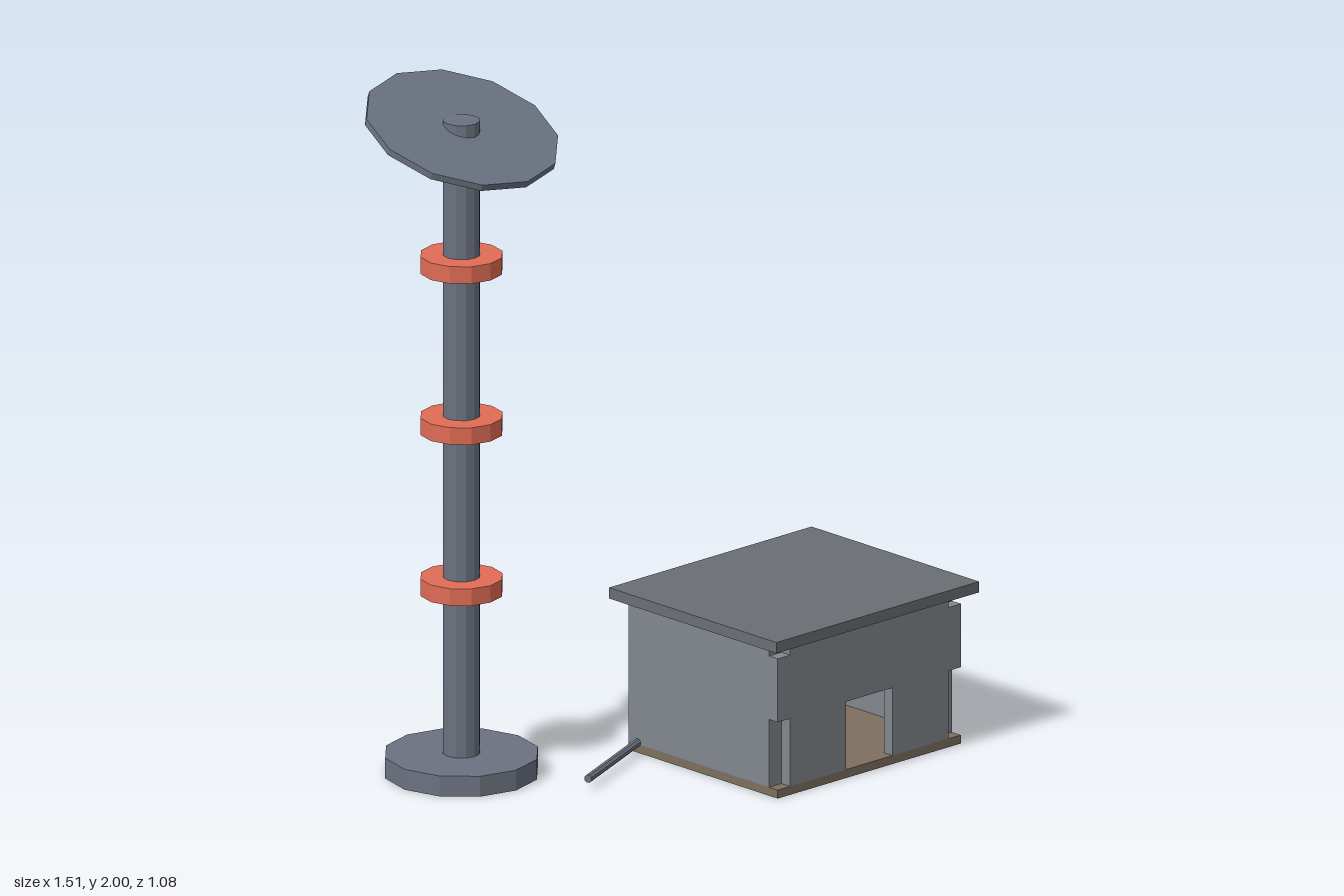
import * as THREE from 'three';

const paint = (color) => new THREE.MeshStandardMaterial({ color, flatShading: true });

export function createModel() {
  const steel = paint(0x6b7280), orange = paint(0xe06c55), wall = paint(0x80888d);
  const roofGrey = paint(0x6a6f73), brown = paint(0x7d6f60), cyan = paint(0x22d3ee);
  const model = new THREE.Group();

  const add = (parent, name, geometry, material, x, y, z) => {
    const mesh = new THREE.Mesh(geometry, material);
    mesh.name = name;
    mesh.position.set(x, y, z);
    parent.add(mesh);
    return mesh;
  };
  // box given by its limits on each axis
  const box = (parent, name, material, [x0, x1], [y0, y1], [z0, z1]) =>
    add(parent, name, new THREE.BoxGeometry(x1 - x0, y1 - y0, z1 - z0), material,
      (x0 + x1) / 2, (y0 + y1) / 2, (z0 + z1) / 2);
  const drum = (r, h) => new THREE.CylinderGeometry(r, r, h, 12);

  // Tower: base, mast, collars and tilted dish
  const tower = new THREE.Group();
  tower.name = 'tower';
  tower.position.set(-0.475, 0, -0.272);
  model.add(tower);
  add(tower, 'towerBase', drum(0.22, 0.06), steel, 0, 0.03, 0);
  add(tower, 'mast', drum(0.053, 1.925), steel, 0, 0.9625, 0);
  for (const y of [0.555, 1.03, 1.505]) add(tower, 'collar', drum(0.118, 0.05), orange, 0, y, 0);
  add(tower, 'dish', drum(0.282, 0.02), steel, 0, 1.895, 0).rotation.x = THREE.MathUtils.degToRad(20);

  // Hut: floor, three plain walls and roof
  const hut = new THREE.Group();
  hut.name = 'hut';
  model.add(hut);
  const x0 = 0.005, x1 = 0.715, zBack = -0.097, zFront = 0.507, floorY = 0.025, eaveY = 0.445;
  const depth = 0.035, side = 0.048;
  box(hut, 'floor', brown, [x0, x1], [0, floorY], [zBack, zFront]);
  box(hut, 'backWall', wall, [x0, x1], [floorY, eaveY], [zBack, zBack + depth]);
  for (const x of [x0, x1 - side])
    box(hut, 'sideWall', wall, [x, x + side], [floorY, eaveY], [zBack + depth, zFront - depth]);
  box(hut, 'roof', roofGrey, [-0.033, 0.753], [eaveY, 0.477], [-0.137, 0.541]);

  // Front wall with a doorway and notched corners
  const doorTop = 0.225, notchY = 0.412, a = x0 + side, b = x1 - side;
  const outline = new THREE.Shape([
    [a, floorY], [0.27, floorY], [0.27, doorTop], [0.45, doorTop], [0.45, floorY], [b, floorY],
    [b, doorTop], [x1, doorTop], [x1, notchY], [b, notchY], [b, eaveY],
    [a, eaveY], [a, notchY], [x0, notchY], [x0, doorTop], [a, doorTop],
  ].map(([x, y]) => new THREE.Vector2(x, y)));
  add(hut, 'frontWall', new THREE.ExtrudeGeometry(outline, { depth, bevelEnabled: false }), wall,
    0, 0, zFront - depth);

  // Console inside, seen through the doorway
  box(hut, 'console', steel, [0.2, 0.52], [floorY, 0.138], [-0.03, 0.1]);
  box(hut, 'consolePanel', orange, [0.2, 0.52], [0.138, 0.24], [-0.03, 0.05]);
  box(hut, 'indicator', cyan, [0.343, 0.377], [0.136, 0.15], [0.05, 0.103]);

  // Cable pipe running from the yard under the hut's corner
  const start = new THREE.Vector3(-0.32, 0.03, 0.078), end = new THREE.Vector3(0.224, 0.03, -0.153);
  const span = end.clone().sub(start);
  const pipe = add(model, 'pipe', new THREE.CylinderGeometry(0.012, 0.012, span.length(), 8), steel, 0, 0, 0);
  pipe.position.copy(start).addScaledVector(span, 0.5);
  pipe.quaternion.setFromUnitVectors(new THREE.Vector3(0, 1, 0), span.clone().normalize());

  return model;
}
